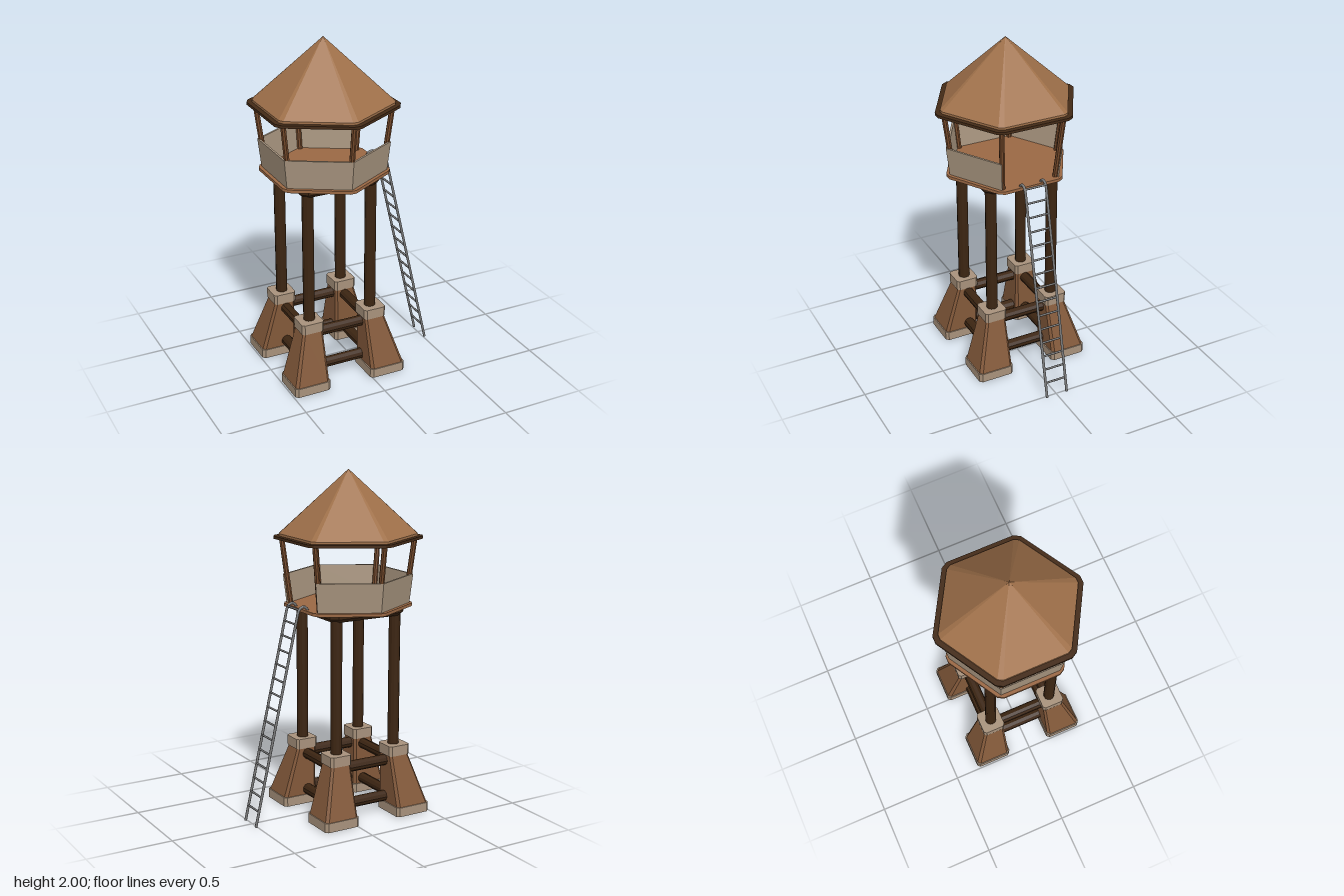
import * as THREE from 'three';

const CX = -0.14; // tower axis
const mat = (color, extra = {}) => new THREE.MeshStandardMaterial({ color, flatShading: true, ...extra });
const M = {
  roof: mat(0xa0714a, { side: THREE.DoubleSide }),
  floor: mat(0x9a6844),
  dark: mat(0x432a16),
  log: mat(0x3c2512),
  post: mat(0x74492a),
  wall: mat(0xa8957f),
  foot: mat(0x83593a),
  stone: mat(0xa8927c),
  metal: mat(0x777777, { flatShading: false }),
};

const polar = (r, a) => [r * Math.cos(a), r * Math.sin(a)];
const lerp = (a, b, t) => [a[0] + (b[0] - a[0]) * t, a[1] + (b[1] - a[1]) * t];

// Cut every corner of a convex outline by distance c along its edges
function chamfer(pts, c) {
  const n = pts.length;
  return pts.flatMap((p, i) => [pts[(i + n - 1) % n], pts[(i + 1) % n]].map(q =>
    lerp(p, q, c / Math.hypot(q[0] - p[0], q[1] - p[1]))));
}
const hex = (r, c) => chamfer([0, 1, 2, 3, 4, 5].map(k => polar(r, Math.PI / 6 + k * Math.PI / 3)), c);
const rect = (x0, x1, z0, z1, c) => chamfer([[x1, z0], [x1, z1], [x0, z1], [x0, z0]], c);

// Skin a stack of convex [y, outline] sections, with optional end caps
function loft(sections, caps = true) {
  const v = [];
  const tri = (...ps) => ps.forEach(p => v.push(...p));
  const rings = sections.map(([y, pts]) => pts.map(([x, z]) => [x, y, z]));
  const n = rings[0].length;
  for (let s = 0; s < rings.length - 1; s++) {
    const b = rings[s], t = rings[s + 1];
    for (let i = 0; i < n; i++) {
      const j = (i + 1) % n;
      tri(b[i], t[i], t[j]);
      tri(b[i], t[j], b[j]);
    }
  }
  if (caps) {
    const b = rings[0], t = rings[rings.length - 1];
    for (let i = 1; i < n - 1; i++) {
      tri(b[0], b[i], b[i + 1]);
      tri(t[0], t[i + 1], t[i]);
    }
  }
  const g = new THREE.BufferGeometry();
  g.setAttribute('position', new THREE.Float32BufferAttribute(v, 3));
  g.computeVertexNormals();
  return g;
}

// Straight round bar between two points
function bar(a, b, r, sides) {
  const A = new THREE.Vector3(...a), B = new THREE.Vector3(...b);
  const d = B.clone().sub(A);
  const g = new THREE.CylinderGeometry(r, r, d.length(), sides);
  g.applyQuaternion(new THREE.Quaternion().setFromUnitVectors(new THREE.Vector3(0, 1, 0), d.normalize()));
  const m = A.add(B).multiplyScalar(0.5);
  return g.translate(m.x, m.y, m.z);
}

export function createModel() {
  const model = new THREE.Group();
  const tower = new THREE.Group();
  tower.name = 'tower';
  tower.position.x = CX;
  model.add(tower);
  const add = (name, geo, material, parent = tower) => {
    const mesh = new THREE.Mesh(geo, material);
    mesh.name = name;
    parent.add(mesh);
  };

  // Four footings with sloped outer faces, each carrying a log pillar
  for (const sx of [-1, 1]) for (const sz of [-1, 1]) {
    const outline = (inner, outer, c) => {
      const [x0, x1] = [sx * inner, sx * outer].sort((a, b) => a - b);
      const [z0, z1] = [sz * inner, sz * outer].sort((a, b) => a - b);
      return rect(x0, x1, z0, z1, c);
    };
    const base = outline(0.13, 0.352, 0.016), cap = outline(0.13, 0.266, 0.014);
    add('footingBase', loft([[0, base], [0.055, base]]), M.stone);
    add('footingBody', loft([[0.055, outline(0.136, 0.346, 0.016)], [0.345, outline(0.136, 0.26, 0.012)]]), M.foot);
    add('footingCap', loft([[0.345, cap], [0.405, cap]]), M.stone);
    add('pillar', bar([sx * 0.195, 0.39, sz * 0.195], [sx * 0.195, 1.19, sz * 0.195], 0.033, 12), M.log);
  }

  // Log braces between neighbouring footings, at two heights
  for (const y of [0.088, 0.31]) for (const s of [-0.195, 0.195]) {
    add('crossBrace', bar([-0.2, y, s], [0.2, y, s], 0.032, 10), M.log);
    add('sideBrace', bar([s, y, -0.2], [s, y, 0.2], 0.032, 10), M.log);
  }

  // Platform: support slab and hexagonal floor
  const slab = h => rect(-h, h, -h, h, 0.035);
  add('platformSupport', loft([[1.175, slab(0.228)], [1.195, slab(0.245)], [1.216, slab(0.245)]]), M.log);
  const floor = hex(0.379, 0.022);
  add('floor', loft([[1.214, floor], [1.232, floor]]), M.floor);

  // Parapet panels, left open on the ladder side, and leaning corner posts
  for (let k = 0; k < 6; k++) {
    const a = Math.PI / 6 + k * Math.PI / 3, b = a + Math.PI / 3;
    const panel = r => [polar(r, a), polar(r, b), polar(r - 0.014, b), polar(r - 0.014, a)];
    if (k !== 5) add('parapetPanel', loft([[1.23, panel(0.355)], [1.4, panel(0.375)]]), M.wall);
    const [x0, z0] = polar(0.33, a), [x1, z1] = polar(0.382, a);
    add('roofPost', bar([x0, 1.225, z0], [x1, 1.622, z1], 0.016, 8), M.post);
  }

  // Flat eave ring
  const toV2 = pts => pts.map(p => new THREE.Vector2(...p));
  const ring = new THREE.Shape(toV2(hex(0.437, 0.024)));
  ring.holes.push(new THREE.Path(toV2(hex(0.385, 0.018))));
  add('eaveRing', new THREE.ExtrudeGeometry(ring, { depth: 0.016, bevelEnabled: false })
    .rotateX(-Math.PI / 2).translate(0, 1.606, 0), M.dark);

  // Hollow pyramid roof with narrow ridge strips
  const eave = hex(0.405, 0.018);
  add('roof', loft([[1.618, eave], [1.635, eave], [2, eave.map(() => [0, 0])]], false), M.roof);

  // Ladder with hooked rails
  const ladder = new THREE.Group();
  ladder.name = 'ladder';
  model.add(ladder);
  for (const z of [-0.065, 0.065]) {
    const path = new THREE.CurvePath();
    const P = (x, y) => new THREE.Vector3(x, y, z);
    path.add(new THREE.CubicBezierCurve3(P(0.165, 1.228), P(0.178, 1.262), P(0.218, 1.262), P(0.229, 1.215)));
    path.add(new THREE.LineCurve3(P(0.229, 1.215), P(0.51, 0.002)));
    add('ladderRail', new THREE.TubeGeometry(path, 90, 0.008, 8), M.metal, ladder);
    add('railFoot', bar([0.5085, 0.008, z], [0.51, 0, z], 0.008, 8), M.metal, ladder);
  }
  for (let i = 0; i < 15; i++) {
    const y = 1.237 - i * 0.082;
    const x = 0.51 - Math.min(y, 1.237) * 0.2316;
    add('rung', bar([x, y, -0.065], [x, y, 0.065], 0.006, 8), M.metal, ladder);
  }
  return model;
}
